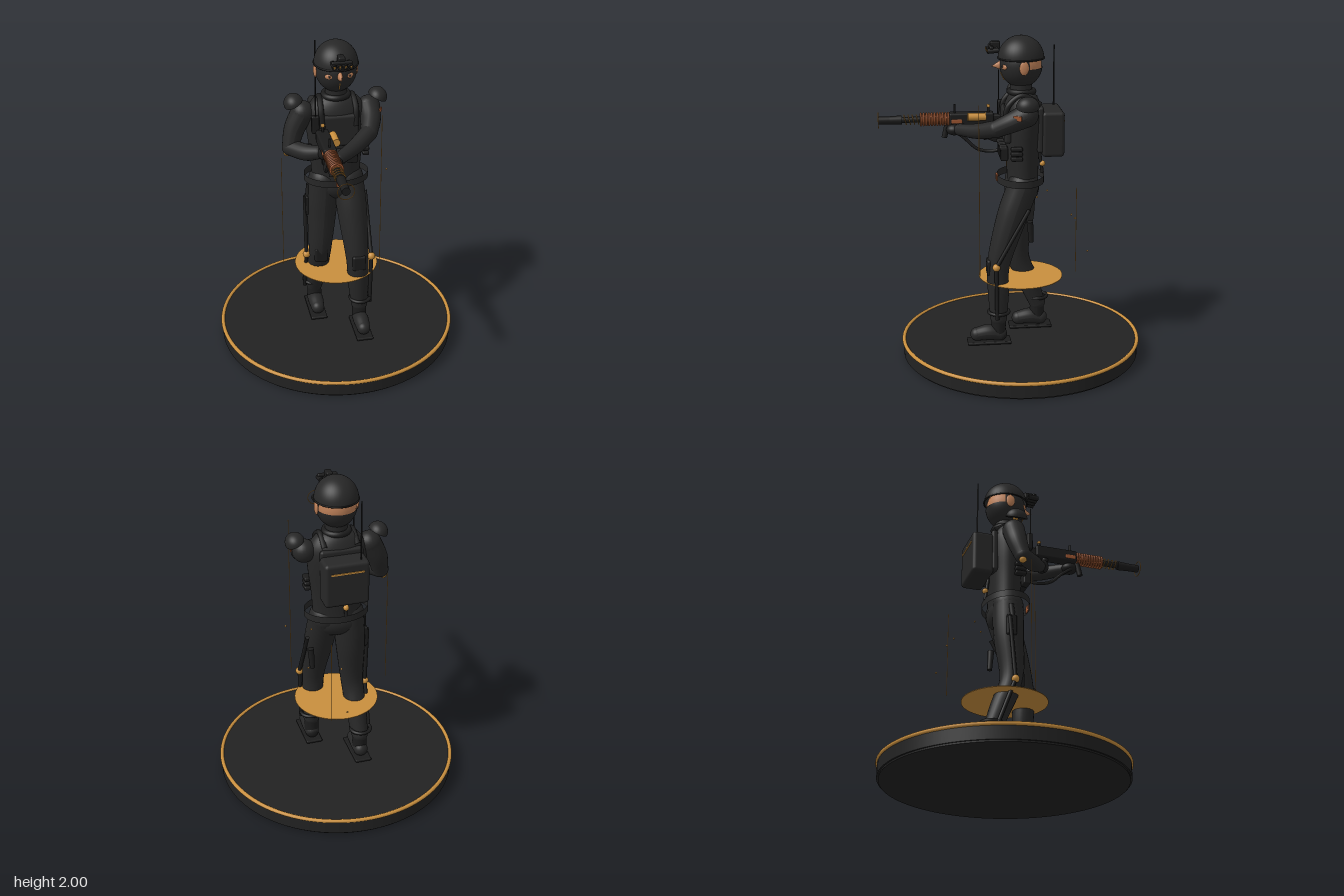
import * as THREE from 'three';
import { RoundedBoxGeometry } from 'three/addons/geometries/RoundedBoxGeometry.js';

const mat = (name, color, side = THREE.FrontSide) =>
  Object.assign(new THREE.MeshStandardMaterial({ color, side }), { name });

export function createModel() {
  const suit = mat('charcoal suit', 0x272727, THREE.DoubleSide);
  const black = mat('black gear', 0x1c1c1c);
  const stone = mat('base black', 0x222222);
  const gold = mat('gold', 0xc98f3e, THREE.DoubleSide);
  const copper = mat('copper', 0x9c5530);
  const skin = mat('skin', 0xbd8058);
  const root = new THREE.Group();
  root.name = 'armouredSoldier';
  const V = (p) => new THREE.Vector3(...p);

  const add = (name, geo, m, p = [0, 0, 0], r = [0, 0, 0], s = [1, 1, 1]) => {
    const mesh = new THREE.Mesh(geo, m);
    mesh.name = name;
    mesh.position.set(...p);
    mesh.rotation.set(...r);
    mesh.scale.set(...s);
    root.add(mesh);
    return mesh;
  };
  const ball = (name, m, p, s, r) => add(name, new THREE.SphereGeometry(1, 24, 16), m, p, r, Array.isArray(s) ? s : [s, s, s]);
  const box = (name, m, p, s, r, bevel = 0.008) =>
    add(name, new RoundedBoxGeometry(...s, 2, Math.min(bevel, Math.min(...s) * 0.4)), m, p, r);
  const rod = (name, m, a, b, r0, r1 = r0, sides = 16) => {
    const d = V(b).sub(V(a));
    const mesh = add(name, new THREE.CylinderGeometry(r1, r0, d.length(), sides), m);
    mesh.position.copy(V(a).addScaledVector(d, 0.5));
    mesh.quaternion.setFromUnitVectors(new THREE.Vector3(0, 1, 0), d.normalize());
    return mesh;
  };
  const ring = (name, m, p, r, t, rot = [0, 0, 0], s) => add(name, new THREE.TorusGeometry(r, t, 8, 40), m, p, rot, s);
  const tube = (name, m, pts, r) =>
    add(name, new THREE.TubeGeometry(new THREE.CatmullRomCurve3(pts.map(V)), 24, r, 8), m);
  // Tapered limb: each point is [x, y, z, radius]
  const limb = (name, m, pts) => {
    const curve = new THREE.CatmullRomCurve3(pts.map((p) => V(p.slice(0, 3))));
    const n = 32;
    const geo = new THREE.TubeGeometry(curve, n, 1, 20);
    const pos = geo.attributes.position;
    const radii = new THREE.CatmullRomCurve3(pts.map((p, i) => new THREE.Vector3(i, p[3], 0)));
    const v = new THREE.Vector3();
    for (let i = 0; i <= n; i++) {
      const c = curve.getPointAt(i / n);
      const r = radii.getPoint(curve.getUtoTmapping(i / n)).y;
      for (let j = 0; j <= 20; j++) {
        const k = i * 21 + j;
        v.fromBufferAttribute(pos, k).sub(c).multiplyScalar(r).add(c);
        pos.setXYZ(k, v.x, v.y, v.z);
      }
    }
    geo.computeVertexNormals();
    add(name, geo, m);
    for (const p of [pts[0], pts.at(-1)]) ball(name + 'End', m, p.slice(0, 3), p[3]);
  };

  // Display base and glowing disc
  const cz = -0.055;
  add('base', new THREE.CylinderGeometry(0.735, 0.735, 0.09, 96), stone, [0, 0.055, cz]);
  add('baseFoot', new THREE.CylinderGeometry(0.725, 0.725, 0.01, 96), stone, [0, 0.005, cz]);
  add('baseTrim', new THREE.TorusGeometry(0.733, 0.012, 10, 96), gold, [0, 0.098, cz], [Math.PI / 2, 0, 0]);
  add('energyDisc', new THREE.CylinderGeometry(0.26, 0.26, 0.004, 64), gold, [0, 0.502, cz]);

  // Light beams and sparks
  [[0.217, 0.217, 0.58, 1.63], [-0.343, -0.003, 0.555, 1.3], [0.127, -0.379, 0.555, 1.09]].forEach(
    ([x, z, a, b]) => rod('beam', gold, [x, a, z], [x, b, z], 0.002, 0.002, 6));
  [[0.33, 1.1, -0.11], [0.26, 0.94, -0.35], [0.06, 0.9, -0.36], [0.055, 0.66, -0.465], [0.195, 1.1, -0.19]].forEach(
    (p) => ball('spark', gold, p, 0.006));

  // Legs, boots and outer braces; the left leg is forward
  const legs = [
    { s: 1, knee: [0.105, 0.6, 0.095], ankle: [0.12, 0.27, 0.095], ball: [0.19, 0.62, 0.115], foot: 0.155 },
    { s: -1, knee: [-0.105, 0.6, -0.05], ankle: [-0.12, 0.27, -0.175], ball: [-0.19, 0.58, -0.05], foot: -0.13 },
  ];
  for (const { s, knee, ankle, ball: kb, foot } of legs) {
    const mz = (knee[2] - 0.06) / 2;
    limb('leg', suit, [[s * 0.075, 1.1, -0.06, 0.095], [s * 0.088, 0.9, mz - 0.005, 0.092],
      [...knee, 0.07], [s * 0.112, 0.43, (knee[2] + ankle[2]) / 2, 0.065], [...ankle, 0.052]]);
    const x = s * 0.12;
    limb('bootShaft', black, [[x, 0.25, ankle[2], 0.045], [x, 0.18, ankle[2], 0.045], [x, 0.16, ankle[2] - 0.01, 0.042]]);
    limb('boot', suit, [[x, 0.165, foot - 0.065, 0.045], [x, 0.175, foot, 0.049], [x, 0.165, foot + 0.075, 0.042]]);
    box('sole', black, [x, 0.117, foot], [0.105, 0.018, 0.27]);
    const hip = [s * 0.19, 0.98, -0.085];
    const end = [s * 0.185, 0.28, ankle[2] + 0.015];
    rod('thighBrace', black, hip, kb, 0.012);
    rod('shinBrace', black, kb, end, 0.012);
    ball('kneeJoint', gold, kb, 0.024);
    ring('ankleClamp', black, [s * 0.125, 0.31, ankle[2]], 0.062, 0.011, [Math.PI / 2, 0, 0]);
    box('kneePad', black, [knee[0], knee[1], knee[2] + 0.055], [0.085, 0.1, 0.035], [0, 0, 0], 0.015);
  }
  box('holster', black, [-0.175, 0.93, -0.07], [0.03, 0.13, 0.06]);
  rod('sidearmGrip', black, [-0.168, 1.07, -0.07], [-0.175, 0.96, -0.06], 0.016);
  rod('sheath', black, [0.172, 0.9, -0.09], [0.165, 0.77, -0.1], 0.02, 0.015);

  // Torso, pelvis, neck and belt
  const lathe = (name, m, prof, z, depth) => add(name,
    new THREE.LatheGeometry(new THREE.SplineCurve(prof.map((p) => new THREE.Vector2(...p))).getPoints(32), 40),
    m, [0, 0, z], [0, 0, 0], [1, 1, depth]);
  lathe('torso', suit, [[0.15, 1.1], [0.15, 1.17], [0.16, 1.3], [0.178, 1.45], [0.178, 1.56], [0.14, 1.63], [0.085, 1.665], [0.05, 1.67]], -0.065, 0.63);
  ball('pelvis', suit, [0, 1.07, -0.06], [0.165, 0.1, 0.105]);
  rod('neck', suit, [0, 1.6, -0.055], [0, 1.74, -0.055], 0.066);
  ring('collar', black, [0, 1.665, -0.058], 0.072, 0.018, [Math.PI / 2, 0, 0]);
  add('belt', new THREE.CylinderGeometry(0.197, 0.197, 0.044, 48, 1, true), suit, [0, 1.134, -0.052], [0, 0, 0], [1, 1, 0.725]);
  box('buckle', copper, [0, 1.139, 0.091], [0.05, 0.042, 0.014]);
  ball('spineJoint', gold, [-0.02, 1.21, -0.19], 0.018);
  rod('spineStrut', black, [-0.02, 1.3, -0.17], [-0.02, 1.15, -0.19], 0.01);

  // Vest with pouches and straps
  box('chestPlate', suit, [0, 1.47, 0.035], [0.24, 0.2, 0.045], [0, 0, 0], 0.02);
  box('backPlate', suit, [0, 1.45, -0.16], [0.26, 0.28, 0.04], [0, 0, 0], 0.02);
  for (const x of [-0.075, 0, 0.075]) {
    box('frontPouch', black, [x, 1.305, 0.055], [0.066, 0.085, 0.045]);
    box('pouchFlap', suit, [x, 1.34, 0.06], [0.068, 0.022, 0.045]);
  }
  for (const s of [-1, 1]) {
    for (const y of [1.29, 1.32, 1.35]) box('sidePouch', black, [s * 0.17, y, -0.01], [0.04, 0.024, 0.07]);
    tube('shoulderStrap', black, [[s * 0.1, 1.5, 0.055], [s * 0.105, 1.6, 0.03], [s * 0.1, 1.655, -0.05], [s * 0.1, 1.6, -0.16]], 0.017);
  }
  box('radio', black, [-0.145, 1.53, 0.055], [0.045, 0.11, 0.035]);
  rod('radioAntenna', black, [-0.145, 1.55, 0.064], [-0.145, 1.77, 0.064], 0.004, 0.003, 8);

  // Backpack
  box('backpack', suit, [0.005, 1.423, -0.235], [0.27, 0.275, 0.135], [0, 0, 0], 0.022);
  box('packLight', gold, [0.005, 1.5, -0.303], [0.2, 0.012, 0.006]);
  rod('packAntenna', black, [-0.085, 1.54, -0.265], [-0.085, 1.925, -0.265], 0.005, 0.004, 8);

  // Arms, hands and shoulder caps
  limb('rightUpperArm', suit, [[-0.2, 1.56, -0.065, 0.07], [-0.25, 1.46, -0.06, 0.063], [-0.282, 1.35, -0.035, 0.05]]);
  limb('rightForearm', suit, [[-0.282, 1.35, -0.035, 0.05], [-0.2, 1.355, 0.06, 0.05], [-0.13, 1.38, 0.125, 0.038]]);
  limb('leftUpperArm', suit, [[0.2, 1.56, -0.065, 0.07], [0.195, 1.52, 0.02, 0.061], [0.165, 1.475, 0.11, 0.052]]);
  limb('leftForearm', suit, [[0.165, 1.475, 0.11, 0.052], [0.06, 1.44, 0.21, 0.046], [-0.055, 1.425, 0.31, 0.036]]);
  ball('rightHand', black, [-0.115, 1.39, 0.15], [0.035, 0.045, 0.04]);
  ball('leftHand', black, [-0.085, 1.42, 0.34], [0.045, 0.035, 0.05]);
  ball('elbowJoint', gold, [-0.3, 1.315, -0.04], 0.023);
  box('armPatch', copper, [0.258, 1.555, -0.005], [0.008, 0.03, 0.05], [0, -0.5, 0]);
  for (const s of [-1, 1]) {
    add('shoulderCap', new THREE.SphereGeometry(0.065, 28, 10, 0, Math.PI * 2, 0, Math.PI / 2), suit,
      [s * 0.252, 1.622, -0.065], [0, 0, -s * 0.45], [0.9, 0.9, 1.05]);
    add('capUnderside', new THREE.CircleGeometry(0.065, 28), black, [s * 0.252, 1.622, -0.065], [Math.PI / 2, -s * 0.45, 0], [0.9, 1.05, 1]);
    rod('capMount', gold, [s * 0.215, 1.6, -0.065], [s * 0.24, 1.63, -0.065], 0.016);
  }

  // Head with balaclava, face openings and helmet
  const hc = [0, 1.825, -0.055];
  const hs = [0.122, 0.135, 0.128];
  ball('head', skin, hc, [0.117, 0.128, 0.123]);
  add('maskFront', new THREE.SphereGeometry(1, 32, 24, -0.3, Math.PI + 0.6), suit, hc, [0, 0, 0], hs);
  add('maskNape', new THREE.SphereGeometry(1, 32, 16, 0, Math.PI * 2, Math.PI * 0.53, Math.PI * 0.47), suit, hc, [0, 0, 0], hs);
  add('nose', new THREE.ConeGeometry(0.022, 0.065, 16), skin, [0, 1.822, 0.09], [Math.PI / 2 + 0.1, 0, 0], [0.9, 1, 1.5]);
  rod('maskSeam', gold, [0, 1.735, 0.045], [0, 1.78, 0.068], 0.003, 0.003, 8);
  for (const s of [-1, 1]) {
    ball('eyeOpening', skin, [s * 0.062, 1.822, 0.049], [0.024, 0.016, 0.012], [0, s * 0.5, 0]);
    ball('eye', black, [s * 0.06, 1.825, 0.06], 0.007);
    ball('ear', skin, [s * 0.121, 1.822, -0.06], [0.012, 0.042, 0.028]);
  }
  add('helmet', new THREE.SphereGeometry(1, 40, 20, 0, Math.PI * 2, 0, Math.PI / 2), suit, [0, 1.865, -0.055], [0, 0, 0], [0.13, 0.135, 0.138]);
  ring('helmetRim', black, [0, 1.866, -0.055], 0.13, 0.005, [Math.PI / 2, 0, 0], [1, 1.06, 1]);
  box('goggleMount', black, [0, 1.945, 0.1], [0.04, 0.045, 0.06]);
  box('goggleArm', black, [0, 1.935, 0.125], [0.12, 0.02, 0.025]);
  for (const x of [-0.048, -0.016, 0.016, 0.048]) {
    rod('goggleTube', black, [x, 1.92, 0.085], [x, 1.915, 0.15], 0.015);
    add('goggleLens', new THREE.ConeGeometry(0.011, 0.008, 3), gold, [x, 1.915, 0.151], [0, 0, Math.PI], [1, 2.2, 0.4]);
  }

  // Rifle along z
  const gx = -0.115, gy = 1.48;
  const barrel = (name, m, z0, z1, r, r1 = r) => rod(name, m, [gx, gy, z0], [gx, gy, z1], r, r1, 24);
  box('receiver', black, [gx, gy, 0.235], [0.075, 0.075, 0.27], [0, 0, 0], 0.01);
  box('stock', black, [gx, 1.46, 0.07], [0.05, 0.085, 0.1]);
  rod('powerCell', gold, [-0.06, 1.5, 0.15], [-0.06, 1.5, 0.26], 0.024);
  box('receiverInlay', copper, [gx, gy - 0.01, 0.325], [0.08, 0.03, 0.07]);
  barrel('barrelCore', black, 0.35, 0.73, 0.018);
  for (let i = 0; i < 11; i++) ring('coil', copper, [gx, gy, 0.375 + i * 0.0165], 0.036, 0.006);
  barrel('coilSleeve', copper, 0.37, 0.545, 0.031);
  for (const z of [0.56, 0.585, 0.61, 0.635]) ring('barrelRing', gold, [gx, gy, z], 0.03, 0.003, [0.25, 0, 0]);
  barrel('suppressor', black, 0.655, 0.73, 0.028, 0.024);
  barrel('muzzle', black, 0.725, 0.797, 0.024);
  ring('muzzleRing', gold, [gx, gy, 0.797], 0.047, 0.0025);
  box('rearSight', gold, [gx, 1.555, 0.13], [0.024, 0.02, 0.02]);
  rod('sightPost', black, [gx, 1.51, 0.13], [gx, 1.55, 0.13], 0.008);
  rod('frontSight', black, [gx, 1.51, 0.335], [gx, 1.57, 0.335], 0.006);
  rod('pistolGrip', black, [gx, 1.45, 0.17], [gx, 1.35, 0.14], 0.02);
  rod('foreGrip', black, [gx, 1.45, 0.38], [gx, 1.365, 0.4], 0.017);
  tube('powerHose', black, [[gx, 1.42, 0.36], [gx, 1.36, 0.28], [-0.11, 1.29, 0.2], [-0.1, 1.275, 0.12], [-0.08, 1.29, 0.05]], 0.01);

  return root;
}
